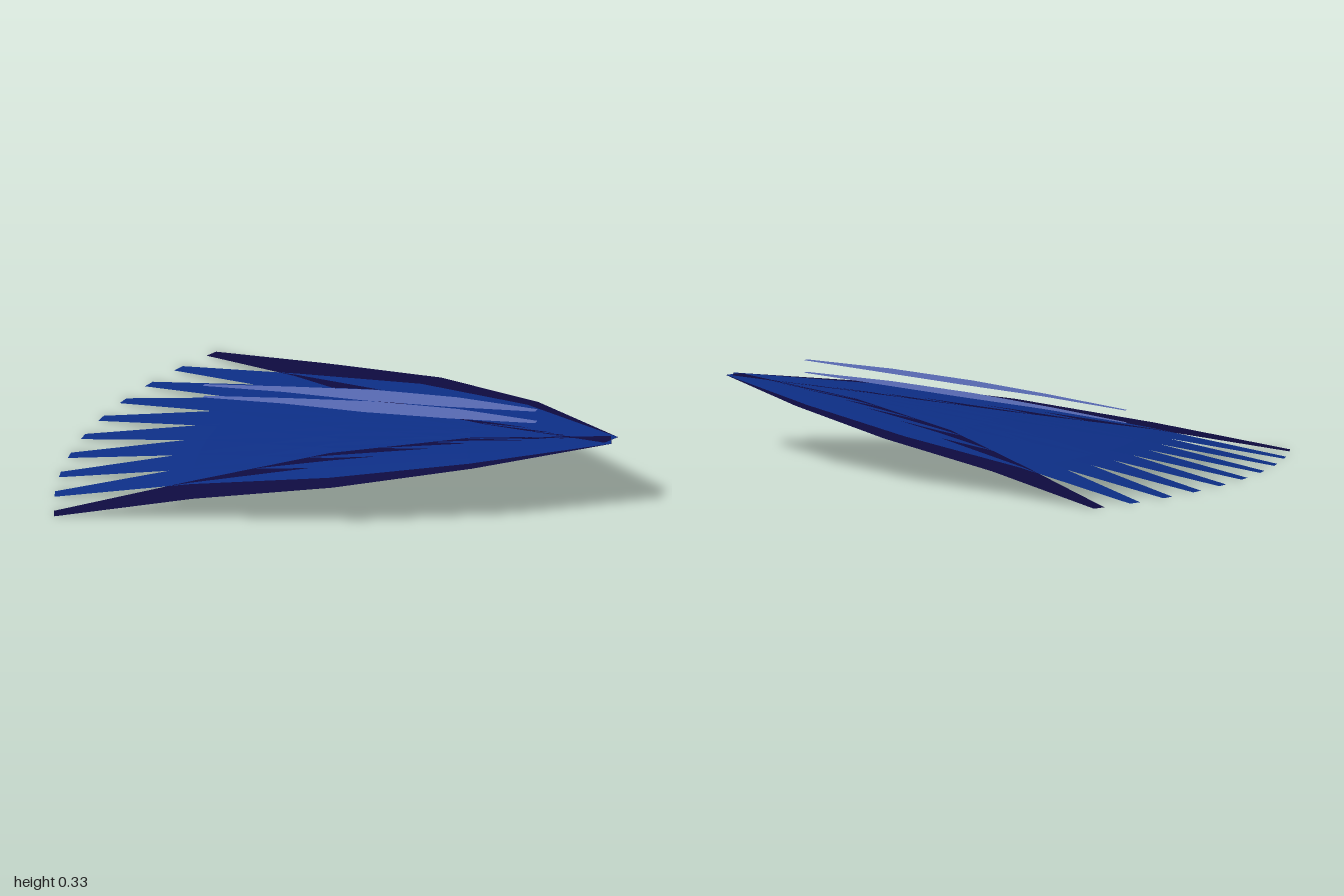
import * as THREE from 'three';

// Blade outline: distance along, half width and drop at five stations
const ALONG = [0, 0.5, 1, 1.5, 1.99];
const HALF = [0.035, 0.14, 0.157, 0.08, 0.025];
const DROP = [0, 0.045, 0.105, 0.175, 0.26];

// Thin drooping blade that runs along -x from its root
function bladeGeometry(lengthScale, widthScale, dropScale) {
  const pos = [], index = [];
  ALONG.forEach((t, i) => {
    for (const side of [-1, 1]) {
      pos.push(-t * lengthScale, -DROP[i] * dropScale, side * HALF[i] * widthScale);
    }
    if (i > 0) {
      const a = (i - 1) * 2;
      index.push(a, a + 2, a + 1, a + 1, a + 2, a + 3);
    }
  });
  const g = new THREE.BufferGeometry();
  g.setAttribute('position', new THREE.Float32BufferAttribute(pos, 3));
  // reversed winding check: upper faces point to +y
  g.setIndex(index.reverse());
  const flat = g.toNonIndexed();
  flat.computeVertexNormals();
  if (flat.attributes.normal.getY(0) < 0) {
    g.setIndex(index.reverse());
    const turned = g.toNonIndexed();
    turned.computeVertexNormals();
    return turned;
  }
  return flat;
}

function material(name, color) {
  const m = new THREE.MeshStandardMaterial({ color, side: THREE.DoubleSide, flatShading: true });
  m.name = name;
  return m;
}

export function createModel() {
  const group = new THREE.Group();
  group.name = 'featherFan';
  const blue = material('feather blue', 0x0d2f88);
  const navy = material('dark navy', 0x0e0b41);
  const pale = material('pale blue', 0x586ab4);

  // Ten feathers fanned out from one root, the outermost pair darker
  const feather = bladeGeometry(1, 1, 1);
  const count = 10, step = THREE.MathUtils.degToRad(5.1);
  for (let i = 0; i < count; i++) {
    const outer = i === 0 || i === count - 1;
    const mesh = new THREE.Mesh(feather, outer ? navy : blue);
    mesh.name = outer ? 'outerFeather' : 'feather';
    mesh.position.set(0.987, 0.26, 0);
    mesh.rotation.y = (i - (count - 1) / 2) * step;
    group.add(mesh);
  }

  // Two slim plumes floating above the middle of the fan
  const plume = bladeGeometry(0.64, 0.33, 0.38);
  for (const y of [0.285, 0.33]) {
    const mesh = new THREE.Mesh(plume, pale);
    mesh.name = 'centrePlume';
    mesh.position.set(0.7, y, 0);
    group.add(mesh);
  }
  return group;
}
